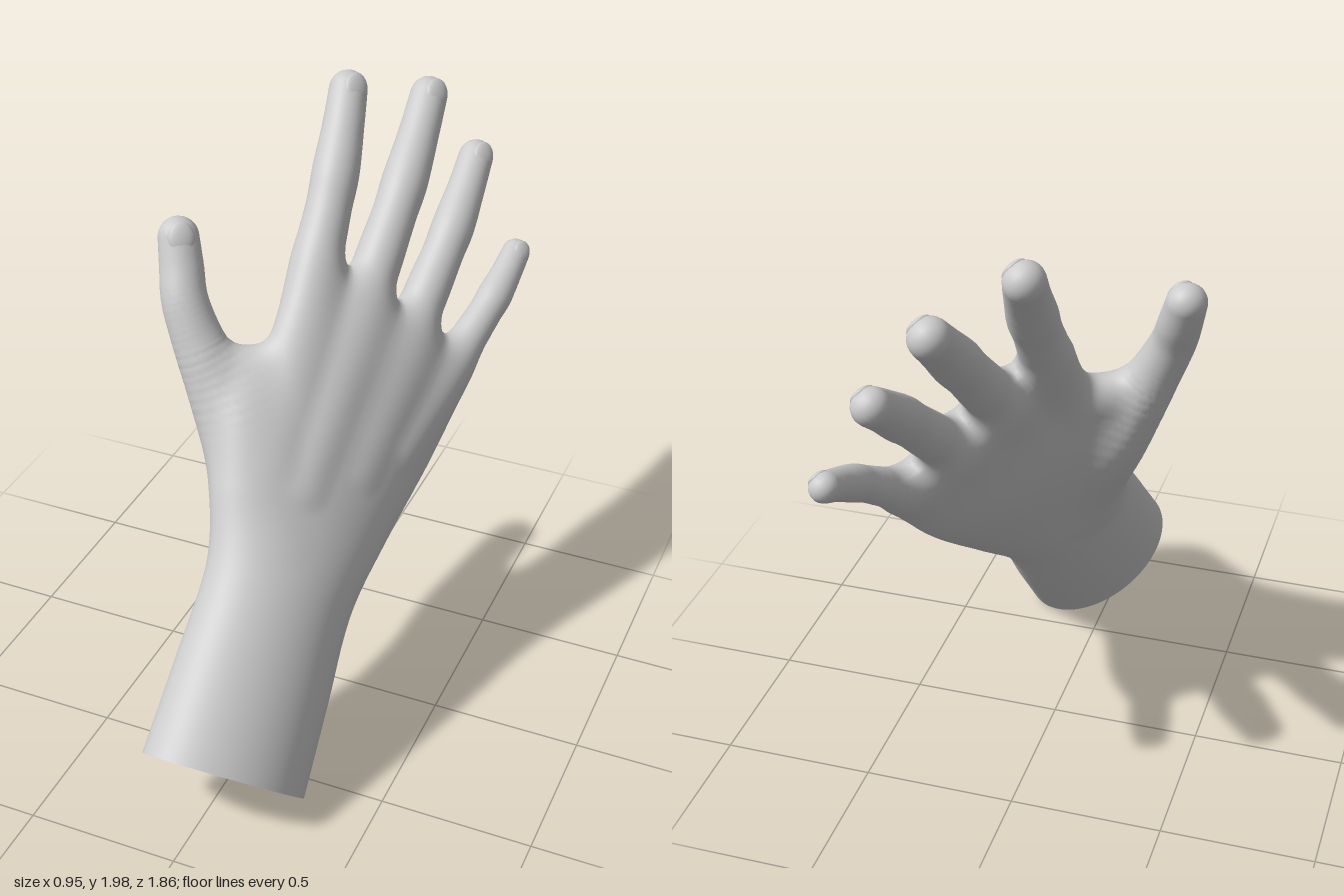
import * as THREE from 'three';

const skin = new THREE.MeshStandardMaterial({ color: 0xcccccc, side: THREE.DoubleSide });
const V = (x, y, z) => new THREE.Vector3(x, y, z);

// Rounded union and intersection of two distances, k = fillet size
const join = (a, b, k) => Math.min(a, b) - Math.max(k - Math.abs(a - b), 0) ** 2 / (4 * k);
const cut = (a, b, k) => -join(-a, -b, k);

// Hand space: x towards the little finger, y along the forearm, z out of the back of the hand.
// Forearm and palm: [y, centre x, centre z, half width, half thickness]
const ARM = [
  [0, 0, 0, 0.286, 0.186],
  [0.3, -0.005, 0.012, 0.274, 0.178],
  [0.6, -0.012, 0.026, 0.265, 0.164],
  [0.87, -0.006, 0.031, 0.318, 0.136],
  [1.17, 0.022, 0.05, 0.358, 0.124],
  [1.42, 0.048, 0.083, 0.36, 0.103],
  [1.62, 0.056, 0.092, 0.352, 0.08],
];
const slopes = ARM.map((s, i) => {
  const a = ARM[Math.max(i - 1, 0)], b = ARM[Math.min(i + 1, ARM.length - 1)];
  return s.map((v, c) => (b[c] - a[c]) / (b[0] - a[0]));
});
function armDistance(x, yRaw, z) {
  const y = THREE.MathUtils.clamp(yRaw, 0, 1.619);
  const i = ARM.findIndex(s => s[0] > y) - 1;
  const A = ARM[i], B = ARM[i + 1], len = B[0] - A[0], t = (y - A[0]) / len;
  const at = c => A[c] + (B[c] - A[c]) * t * t * (3 - 2 * t)
    + len * t * (1 - t) * (slopes[i][c] * (1 - t) - slopes[i + 1][c] * t);
  const dx = x - at(1), dz = z - at(2), a = at(3), b = at(4);
  const k = Math.hypot(dx / a, dz / b);
  const tube = k < 0.05 ? -b : (k - 1) * k / Math.hypot(dx / (a * a), dz / (b * b));
  return cut(tube, yRaw + 0.16 * x - 1.605, 0.1);
}

// Tapered limb along a curve through [x, y, z, radius]; flat thins it across its side direction
function limb(points, flat = 1, side = V(1, 0, 0)) {
  const path = new THREE.CatmullRomCurve3(points.map(p => V(p[0], p[1], p[2])), false, 'catmullrom');
  const radii = new THREE.CatmullRomCurve3(points.map(p => V(p[3], 0, 0)), false, 'catmullrom');
  const n = (points.length - 1) * 6;
  const chain = Array.from({ length: n + 1 }, (_, i) => ({ p: path.getPoint(i / n), r: radii.getPoint(i / n).x }));
  const t = path.getTangent(1), up = side.clone().cross(t).normalize();
  const distance = (x, y, z) => {
    let best = Infinity;
    for (let i = 0; i < n; i++) {
      const { p: a, r: ra } = chain[i], { p: b, r: rb } = chain[i + 1];
      const ex = b.x - a.x, ey = b.y - a.y, ez = b.z - a.z;
      let qx = x - a.x, qy = y - a.y, qz = z - a.z;
      const h = Math.min(Math.max((qx * ex + qy * ey + qz * ez) / (ex * ex + ey * ey + ez * ez), 0), 1);
      qx -= ex * h; qy -= ey * h; qz -= ez * h;
      const qn = qx * up.x + qy * up.y + qz * up.z;
      best = Math.min(best, Math.sqrt(qx * qx + qy * qy + qz * qz + qn * qn * (flat * flat - 1)) - ra - (rb - ra) * h);
    }
    return best;
  };
  return { distance, t, up, tip: chain[n].p, w: chain[n].r, h: chain[n].r / flat };
}

// Finger from the back of the palm to the tip: [position along, relative radius]
const FINGER_PROFILE = [[-1.3, 0.55], [-0.6, 0.85], [-0.2, 1], [0, 1.02], [0.28, 0.95], [0.48, 0.98], [0.75, 0.87], [1, 0.8]];
function finger(base, tip, radius) {
  return limb(FINGER_PROFILE.map(([t, k]) => {
    const p = V(...base).lerp(V(...tip), t);
    const arch = t > 0 ? 0.015 * Math.sin(t * Math.PI) : t * 0.035;
    return [p.x, p.y, p.z + arch, radius * k];
  }), 1.05);
}

const digits = {
  index: finger([-0.258, 1.66, 0.083], [-0.313, 2.19, 0.064], 0.079),
  middle: finger([-0.048, 1.7, 0.098], [-0.018, 2.3, 0.062], 0.078),
  ring: finger([0.163, 1.68, 0.098], [0.221, 2.18, 0.068], 0.073),
  little: finger([0.372, 1.6, 0.1], [0.477, 1.937, 0.073], 0.06),
  thumb: limb([
    [-0.1, 0.72, -0.005, 0.11],
    [-0.235, 0.98, -0.04, 0.124],
    [-0.385, 1.15, -0.045, 0.105],
    [-0.51, 1.27, -0.044, 0.083],
    [-0.595, 1.37, -0.042, 0.074],
    [-0.64, 1.465, -0.042, 0.07],
    [-0.682, 1.548, -0.038, 0.065],
  ], 1.06, V(0.9, 0.3, 0.3).normalize()),
};
// Fold of skin between thumb and index finger
const web = limb([[-0.2, 0.92, 0.01, 0.1], [-0.28, 1.08, 0.012, 0.1], [-0.335, 1.215, 0.01, 0.075]], 1.35);

function handDistance(x, y, z) {
  const fingers = ['index', 'middle', 'ring', 'little']
    .reduce((d, name) => join(d, digits[name].distance(x, y, z), 0.03), 9);
  const thumb = join(digits.thumb.distance(x, y, z), web.distance(x, y, z), 0.08);
  return join(join(armDistance(x, y, z), fingers, 0.07), thumb, 0.1);
}

function handGradient(p) {
  const e = 0.004, { x, y, z } = p;
  return V(handDistance(x + e, y, z) - handDistance(x - e, y, z),
    handDistance(x, y + e, z) - handDistance(x, y - e, z),
    handDistance(x, y, z + e) - handDistance(x, y, z - e)).divideScalar(2 * e);
}

// Net of quads over the zero level of the distance, left open at y = 0
function skinGeometry() {
  const cell = 0.0145, origin = [-0.79, 0, -0.25], dims = [95, 166, 35];
  const step = [1, dims[0], dims[0] * dims[1]];
  const value = new Float32Array(step[2] * dims[2]), ids = new Int32Array(value.length).fill(-1);
  const eachPoint = f => {
    for (let k = 0, i = 0; k < dims[2]; k++)
      for (let j = 0; j < dims[1]; j++)
        for (let l = 0; l < dims[0]; l++) f(i++, [l, j, k]);
  };
  eachPoint((i, g) => { value[i] = handDistance(...g.map((v, a) => origin[a] + v * cell)); });

  const pos = [], normal = [], index = [];
  const corner = c => (c & 1) * step[0] + (c >> 1 & 1) * step[1] + (c >> 2 & 1) * step[2];
  eachPoint((i, g) => {
    if (g.some((v, a) => v >= dims[a] - 1)) return;
    const sum = [0, 0, 0];
    let hits = 0;
    for (let c = 0; c < 8; c++) for (let a = 0; a < 3; a++) {
      if (c >> a & 1) continue;
      const v0 = value[i + corner(c)], v1 = value[i + corner(c) + step[a]];
      if ((v0 < 0) === (v1 < 0)) continue;
      for (let b = 0; b < 3; b++) sum[b] += b === a ? v0 / (v0 - v1) : c >> b & 1;
      hits++;
    }
    if (!hits) return;
    const p = V(...sum.map((s, a) => origin[a] + (g[a] + s / hits) * cell));
    if (g[1] === 0) p.y = 0;
    for (let n = 0; n < 2; n++) {
      const d = handGradient(p);
      if (g[1] === 0) d.y = 0;
      p.addScaledVector(d, -handDistance(p.x, p.y, p.z) / Math.max(d.lengthSq(), 0.3));
    }
    ids[i] = pos.length / 3;
    pos.push(...p.toArray());
    normal.push(...handGradient(p).normalize().toArray());
  });
  eachPoint((i, g) => {
    for (let a = 0; a < 3; a++) {
      const b = (a + 1) % 3, c = (a + 2) % 3;
      if (g[a] >= dims[a] - 1 || !g[b] || !g[c]) continue;
      const inside = value[i] < 0;
      if (inside === value[i + step[a]] < 0) continue;
      const q = [i - step[b] - step[c], i - step[c], i, i - step[b]].map(n => ids[n]);
      if (!inside) q.reverse();
      index.push(q[0], q[1], q[2], q[0], q[2], q[3]);
    }
  });
  const geo = new THREE.BufferGeometry();
  geo.setAttribute('position', new THREE.Float32BufferAttribute(pos, 3));
  geo.setAttribute('normal', new THREE.Float32BufferAttribute(normal, 3));
  geo.setIndex(index);
  return geo;
}

// Thin oval nail set into the back of a fingertip
function nail(name, { tip, t, up, w, h }) {
  const mesh = new THREE.Mesh(new THREE.SphereGeometry(1, 20, 12), skin);
  mesh.name = name;
  mesh.quaternion.setFromRotationMatrix(new THREE.Matrix4().makeBasis(t.clone().cross(up), t, up));
  mesh.scale.set(w * 0.66, w * 0.8, h * 0.28);
  mesh.position.copy(tip).addScaledVector(up, h * 0.76).addScaledVector(t, -w * 0.08);
  return mesh;
}

export function createModel() {
  const group = new THREE.Group();
  group.name = 'hand';

  // Tilt the hand up and back, little finger side lowered
  const pose = new THREE.Group();
  pose.name = 'handPose';
  const along = V(0, 1, -1).normalize();
  const across = V(0.65, -0.5374, -0.5374).normalize();
  pose.quaternion.setFromRotationMatrix(new THREE.Matrix4().makeBasis(across, along, across.clone().cross(along)));
  pose.position.set(0.065, 0.185, 0.76);
  group.add(pose);

  const body = new THREE.Mesh(skinGeometry(), skin);
  body.name = 'handSkin';
  pose.add(body);
  for (const name in digits) pose.add(nail(name + 'Nail', digits[name]));
  return group;
}
